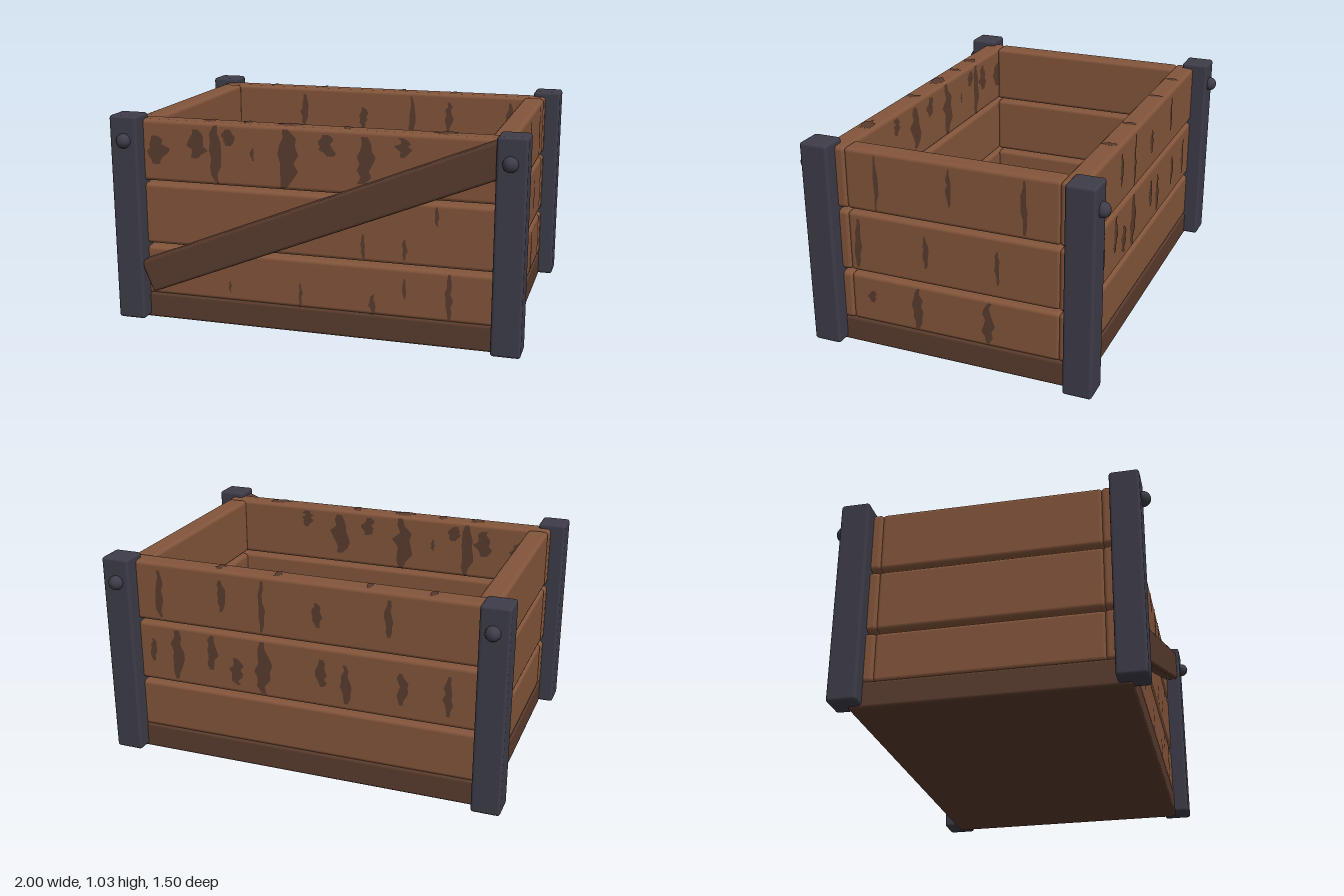
import * as THREE from 'three';
import { RoundedBoxGeometry } from 'three/addons/geometries/RoundedBoxGeometry.js';

function material(name, color) {
  const m = new THREE.MeshStandardMaterial({ color });
  m.name = name;
  return m;
}

export function createModel() {
  const wood = material('warm wood', 0x83553b);
  const darkWood = material('dark wood', 0x593b2d);
  const iron = material('dark iron', 0x3d3c48);
  const crate = new THREE.Group();
  crate.name = 'crate';

  let seed = 7;
  const rand = () => (seed = (seed * 16807) % 2147483647) / 2147483647;

  function add(name, geometry, mat, x, y, z, parent = crate) {
    const mesh = new THREE.Mesh(geometry, mat);
    mesh.name = name;
    mesh.position.set(x, y, z);
    parent.add(mesh);
    return mesh;
  }
  const block = (w, h, d, r = 0.02) => new RoundedBoxGeometry(w, h, d, 2, r);

  // Wobbly upright streak outline
  function streak(w, h) {
    const left = [], right = [], n = 7;
    for (let i = 0; i <= n; i++) {
      const t = i / n;
      const half = (w / 2) * (0.35 + 0.65 * Math.sin(Math.PI * t)) * (0.7 + 0.5 * rand());
      const drift = (rand() - 0.5) * w * 0.4;
      left.push(new THREE.Vector2(drift - half, (t - 0.5) * h));
      right.unshift(new THREE.Vector2(drift + half, (t - 0.5) * h));
    }
    return new THREE.ShapeGeometry(new THREE.Shape([...right.reverse(), ...left.reverse()]));
  }

  // Grain marks on one face; each is [u, v, width, height]
  function grain(name, list, pos, rotX, rotY) {
    const face = new THREE.Group();
    face.name = name;
    face.position.set(...pos);
    face.rotation.set(rotX, rotY, 0);
    for (const [u, v, w, h] of list) add('grainMark', streak(w, h), darkWood, u, v, 0, face);
    crate.add(face);
  }

  // Floor slab, showing as a dark band around the base
  add('floor', block(1.85, 0.13, 1.27, 0.015), darkWood, 0, 0.065, 0);

  // Wall planks in three rows with open gaps
  for (const [low, high] of [[0.125, 0.37], [0.385, 0.69], [0.703, 1.006]]) {
    const y = (low + high) / 2, h = high - low;
    for (const s of [-1, 1]) {
      add(s > 0 ? 'frontPlank' : 'backPlank', block(1.85, h, 0.108), wood, 0, y, s * 0.577);
      add(s > 0 ? 'leftPlank' : 'rightPlank', block(0.108, h, 1.06), wood, s * 0.867, y, 0);
    }
  }

  // Corner posts with round bolts
  for (const sx of [-1, 1]) {
    for (const sz of [-1, 1]) {
      add('cornerPost', block(0.14, 1.02, 0.14, 0.015), iron, sx * 0.93, 0.522, sz * 0.64);
      add('bolt', new THREE.SphereGeometry(0.036, 16, 10), iron, sx * 0.925, 0.912, sz * 0.716);
    }
  }

  // Diagonal brace on the front
  const brace = add('diagonalBrace', block(1.88, 0.165, 0.075, 0.015), darkWood, 0.025, 0.58, 0.655);
  brace.rotation.z = Math.atan2(0.69, 1.71);

  // Grain marks, front and its inner side
  const frontMarks = [
    [-0.49, 0.855, 0.06, 0.28], [-0.13, 0.855, 0.09, 0.28], [-0.79, 0.86, 0.1, 0.14],
    [-0.58, 0.9, 0.09, 0.14], [-0.42, 0.94, 0.06, 0.08], [-0.3, 0.865, 0.02, 0.06],
    [0.07, 0.93, 0.08, 0.1], [0.24, 0.87, 0.09, 0.22], [0.43, 0.94, 0.07, 0.09],
    [0.24, 0.46, 0.02, 0.12], [0.44, 0.46, 0.02, 0.1], [0.59, 0.63, 0.02, 0.09],
    [-0.58, 0.33, 0.025, 0.07], [-0.43, 0.2, 0.015, 0.06], [-0.07, 0.19, 0.018, 0.12],
    [0.29, 0.18, 0.03, 0.1], [0.44, 0.27, 0.018, 0.1], [0.65, 0.25, 0.03, 0.22],
  ];
  grain('frontGrain', frontMarks, [0, 0, 0.634], 0, 0);
  const topRow = frontMarks.filter((m) => m[1] > 0.7);
  grain('frontInnerGrain', topRow.map(([u, ...m]) => [-u, ...m]), [0, 0, 0.52], 0, Math.PI);

  // Back and its inner side
  const backMarks = [
    [-0.74, 0.85, 0.04, 0.24], [-0.41, 0.88, 0.04, 0.16], [-0.2, 0.855, 0.03, 0.26],
    [0.08, 0.85, 0.05, 0.12], [0.43, 0.88, 0.04, 0.18],
    [-0.79, 0.55, 0.04, 0.12], [-0.66, 0.54, 0.06, 0.26], [-0.47, 0.58, 0.05, 0.18],
    [-0.34, 0.5, 0.06, 0.14], [-0.2, 0.54, 0.07, 0.27], [0.1, 0.56, 0.06, 0.14],
    [0.22, 0.52, 0.05, 0.2], [0.5, 0.54, 0.05, 0.16], [0.72, 0.54, 0.04, 0.2],
  ];
  grain('backGrain', backMarks, [0, 0, -0.634], 0, Math.PI);
  grain('backInnerGrain', backMarks.map(([u, ...m]) => [-u, ...m]), [0, 0, -0.52], 0, 0);

  // The side facing +x
  grain('sideGrain', [
    [-0.37, 0.855, 0.022, 0.27], [0, 0.89, 0.025, 0.18], [0.36, 0.855, 0.03, 0.26],
    [-0.48, 0.535, 0.035, 0.25], [-0.125, 0.55, 0.03, 0.16], [0.23, 0.54, 0.022, 0.17],
    [-0.42, 0.265, 0.045, 0.06], [-0.18, 0.25, 0.05, 0.21], [0.18, 0.25, 0.055, 0.21],
  ], [0.924, 0, 0], 0, Math.PI / 2);

  // Top edges of the long walls
  grain('topGrain', [
    [-0.53, -0.575, 0.07, 0.07], [-0.34, -0.575, 0.04, 0.07], [-0.13, -0.575, 0.11, 0.07],
    [0.15, -0.575, 0.05, 0.07], [0.62, -0.575, 0.11, 0.07],
    [-0.62, 0.577, 0.03, 0.07], [-0.32, 0.577, 0.03, 0.07], [0.13, 0.577, 0.04, 0.07],
    [0.43, 0.577, 0.04, 0.07],
  ], [0, 1.009, 0], -Math.PI / 2, 0);

  return crate;
}
